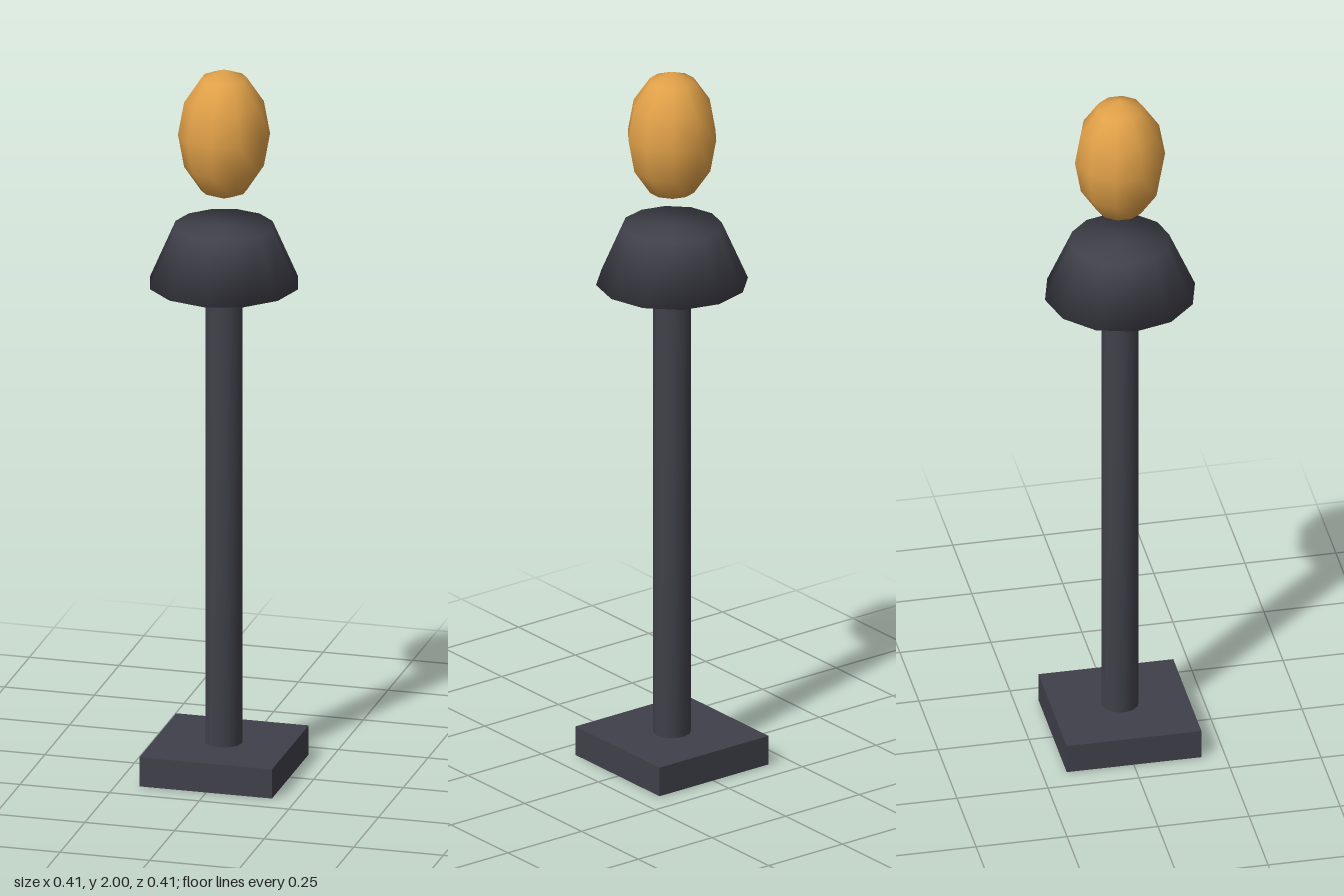
import * as THREE from 'three';
import { mergeVertices } from 'three/addons/utils/BufferGeometryUtils.js';

// Capped cylinder whose normals are smoothed over the cap edges
function softCylinder(rTop, rBottom, y0, y1, sides) {
  const geo = new THREE.CylinderGeometry(rTop, rBottom, y1 - y0, sides);
  geo.translate(0, (y0 + y1) / 2, 0);
  geo.deleteAttribute('normal');
  geo.deleteAttribute('uv');
  const merged = mergeVertices(geo, 1e-4);
  merged.computeVertexNormals();
  return merged;
}

export function createModel() {
  const group = new THREE.Group();
  const darkMetal = new THREE.MeshStandardMaterial({ color: 0x40404a });
  darkMetal.name = 'darkMetal';
  const amber = new THREE.MeshStandardMaterial({ color: 0xe0a048 });
  amber.name = 'amber';

  const add = (name, geometry, material) => {
    const mesh = new THREE.Mesh(geometry, material);
    mesh.name = name;
    group.add(mesh);
  };

  // Square foot, with the post just showing through its underside
  add('base', new THREE.BoxGeometry(0.37, 0.083, 0.37).translate(0, 0.0435, 0), darkMetal);
  add('post', softCylinder(0.051, 0.051, 0, 1.41, 12), darkMetal);

  // Flared collar at the top of the post
  add('collar', softCylinder(0.135, 0.206, 1.392, 1.556, 12), darkMetal);

  // Floating egg-shaped lamp
  const lamp = new THREE.SphereGeometry(1, 10, 6, Math.PI / 2);
  lamp.scale(0.124, 0.184, 0.124).translate(0, 1.816, 0);
  add('lamp', lamp, amber);

  return group;
}
